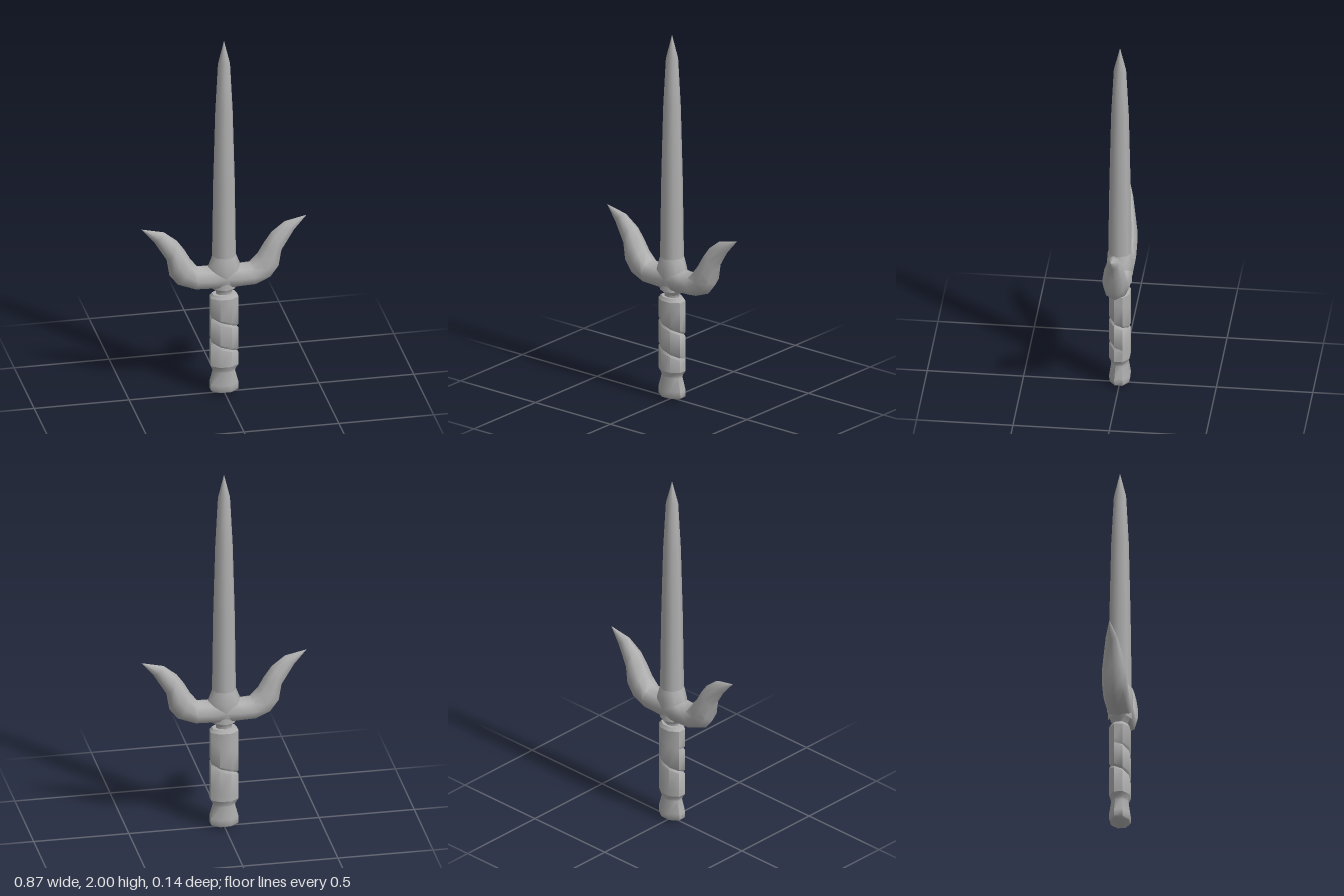
import * as THREE from 'three';
import { toCreasedNormals } from 'three/addons/utils/BufferGeometryUtils.js';

const steel = new THREE.MeshStandardMaterial({ color: 0xb0b0b0 });
steel.name = 'grey steel';

// Skin a grid of points; rows stack along the part, columns run around it.
function skin(name, rows) {
  const out = [];
  const ab = new THREE.Vector3(), ac = new THREE.Vector3();
  const tri = (a, b, c) => {
    ab.subVectors(b, a);
    ac.subVectors(c, a);
    if (ab.cross(ac).length() < 1e-8) return; // collapsed at tips and ends
    for (const p of [a, b, c]) out.push(p.x, p.y, p.z);
  };
  for (let i = 0; i < rows.length - 1; i++) {
    for (let j = 0; j < rows[i].length - 1; j++) {
      const a = rows[i][j], b = rows[i][j + 1];
      const c = rows[i + 1][j + 1], d = rows[i + 1][j];
      tri(a, b, c);
      tri(a, c, d);
    }
  }
  const geometry = new THREE.BufferGeometry();
  geometry.setAttribute('position', new THREE.Float32BufferAttribute(out, 3));
  const mesh = new THREE.Mesh(toCreasedNormals(geometry, 0.9), steel);
  mesh.name = name;
  return mesh;
}

// Upright eight-sided loft from [y, half width, half depth] stations.
function upright(name, stations, turn = 0) {
  const k = 1 / Math.cos(turn);
  return skin(name, stations.map(([y, rx, rz]) =>
    Array.from({ length: 9 }, (_, j) => {
      const a = (j % 8) * Math.PI / 4 + turn;
      return new THREE.Vector3(Math.sin(a) * rx * k, y, Math.cos(a) * rz * k);
    })));
}

// Guard: one loft from prong tip to prong tip.
// Stations: upper x, y, lower x, y, half depth.
function guard() {
  const half = [
    [0.085, 0.722, 0.07, 0.597, 0.067],
    [0.14, 0.725, 0.16, 0.6, 0.067],
    [0.178, 0.772, 0.243, 0.632, 0.066],
    [0.21, 0.83, 0.288, 0.69, 0.063],
    [0.249, 0.884, 0.303, 0.78, 0.051],
    [0.317, 0.938, 0.37, 0.889, 0.03],
    [0.435, 0.965, 0.435, 0.965, 0],
  ];
  const mirrored = half.map(([ux, uy, lx, ly, w]) => [-ux, uy, -lx, ly, w]).reverse();
  const stations = [...mirrored, [0, 0.74, 0, 0.59, 0.068], ...half];
  return skin('guard', stations.map(([ux, uy, lx, ly, w]) =>
    Array.from({ length: 9 }, (_, j) => {
      const a = (j % 8) * Math.PI / 4, c = Math.cos(a) / 2;
      return new THREE.Vector3(
        (ux + lx) / 2 + (ux - lx) * c,
        (uy + ly) / 2 + (uy - ly) * c,
        Math.sin(a) * w);
    })));
}

// Grip: a helical strip whose edges sink into a winding groove.
function grip() {
  const pitch = 0.14, k = 1 / Math.cos(Math.PI / 8);
  const grooved = (t) => t > -0.3 && t < 1.3; // in turns, zero at the front
  const rows = [0, 0.012, pitch - 0.012, pitch].map((v, r) => {
    const row = [];
    for (let j = -12; j <= 25; j++) {
      const turns = (j + 0.5) / 8;
      const line = r === 3 ? turns - 1 : turns;
      const s = (r === 0 || r === 3) && grooved(line) ? 0.88 : 1;
      const y = THREE.MathUtils.clamp(0.405 - pitch * turns + v, 0.16, 0.545);
      const a = (((j % 8) + 8) % 8 + 0.5) * Math.PI / 4;
      row.push(new THREE.Vector3(Math.sin(a) * 0.073 * k * s, y, Math.cos(a) * 0.053 * k * s));
    }
    return row;
  });
  return skin('grip', rows);
}

export function createModel() {
  const group = new THREE.Group();
  group.name = 'dagger';
  const turn = Math.PI / 8;

  group.add(upright('blade', [
    [0.6, 0.064, 0.062],
    [0.78, 0.063, 0.061],
    [1.2, 0.057, 0.055],
    [1.6, 0.046, 0.046],
    [1.87, 0.032, 0.032],
    [2, 0, 0],
  ]));

  // Flared centre of the guard, running into the neck below
  group.add(upright('hub', [
    [0.55, 0.045, 0.034],
    [0.575, 0.042, 0.032],
    [0.605, 0.075, 0.052],
    [0.65, 0.095, 0.067],
    [0.715, 0.088, 0.068],
    [0.77, 0.067, 0.064],
    [0.79, 0.06, 0.058],
  ]));

  group.add(guard(), grip());

  group.add(upright('gripTop', [
    [0.545, 0.073, 0.053],
    [0.563, 0.06, 0.043],
    [0.565, 0, 0],
  ], turn));

  group.add(upright('pommel', [
    [0, 0, 0],
    [0.014, 0.066, 0.048],
    [0.022, 0.073, 0.052],
    [0.055, 0.073, 0.053],
    [0.125, 0.055, 0.043],
    [0.137, 0.058, 0.045],
    [0.16, 0.073, 0.053],
  ], turn));

  return group;
}
